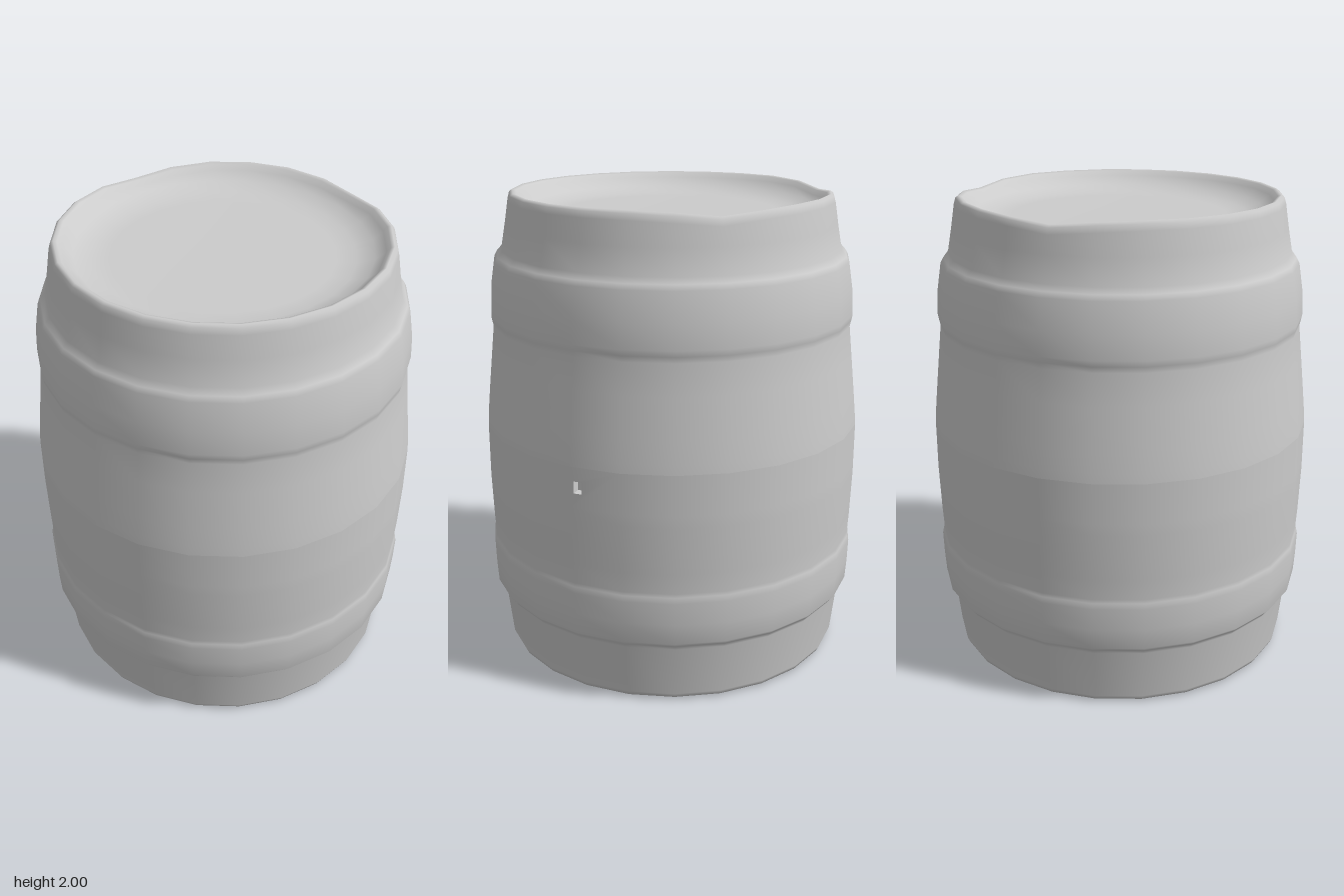
import * as THREE from 'three';

const SIDES = 24;
const STEP = (Math.PI * 2) / SIDES;
const BELLY = 0.815;
const SLOT_LOW = 0.85, SLOT_HIGH = 1.02;

const material = new THREE.MeshStandardMaterial({ color: 0xcccccc });

// One turned section of the barrel; profile runs upward along the outside
function turned(name, profile, start = 0, sides = SIDES) {
  const points = profile.map(([r, y]) => new THREE.Vector2(r, y));
  const mesh = new THREE.Mesh(new THREE.LatheGeometry(points, sides, start, sides * STEP), material);
  mesh.name = name;
  return mesh;
}

// Worn dip in the top rim towards the back
function wearRim(geometry) {
  const p = geometry.attributes.position;
  for (let i = 0; i < p.count; i++) {
    const x = p.getX(i), y = p.getY(i), z = p.getZ(i);
    if (y > 1.96 && Math.hypot(x, z) > 0.6) {
      p.setY(i, y - 0.024 * Math.exp(-(((z + 0.47) / 0.12) ** 2)));
    }
  }
}

// Flat stave panel with a small square tap hole and its socket
function tapPanel() {
  const group = new THREE.Group();
  group.name = 'tapPanel';
  const half = BELLY * Math.sin(STEP / 2);
  const depth = BELLY * Math.cos(STEP / 2);
  const rect = (path, x0, y0, x1, y1) =>
    path.moveTo(x0, y0).lineTo(x1, y0).lineTo(x1, y1).lineTo(x0, y1).closePath();

  const shape = new THREE.Shape();
  rect(shape, -half, SLOT_LOW, half, SLOT_HIGH);
  const hole = new THREE.Path();
  rect(hole, -0.093, 0.91, -0.059, 0.96);
  shape.holes.push(hole);

  // Normals follow the round of the barrel
  const geometry = new THREE.ShapeGeometry(shape);
  const p = geometry.attributes.position, n = geometry.attributes.normal;
  for (let i = 0; i < p.count; i++) {
    const v = new THREE.Vector3(p.getX(i), 0, depth).normalize();
    n.setXYZ(i, v.x, v.y, v.z);
  }
  const panel = new THREE.Mesh(geometry, material);
  panel.name = 'holedStave';
  panel.position.z = depth;

  // Inside-out box: only its inner walls show
  const inner = material.clone();
  inner.side = THREE.BackSide;
  const socket = new THREE.Mesh(new THREE.BoxGeometry(0.034, 0.05, 0.04), inner);
  socket.name = 'tapHole';
  socket.position.set(-0.076, 0.935, depth - 0.02);

  group.add(panel, socket);
  group.rotation.y = Math.PI / 2 + STEP / 2;
  return group;
}

export function createModel() {
  const barrel = new THREE.Group();
  barrel.name = 'barrel';

  // Recessed base, foot, lower hoop and lower belly
  const lower = turned('lowerBody', [
    [0, 0.06], [0.58, 0.06], [0.63, 0.05], [0.685, 0.005], [0.71, 0], [0.735, 0.01],
    [0.745, 0.03], [0.77, 0.25], [0.785, 0.272], [0.803, 0.292], [0.809, 0.38],
    [0.812, 0.475], [0.807, 0.5], [0.803, 0.515], [0.808, 0.6], [BELLY, 0.8], [BELLY, SLOT_LOW],
  ]);

  // Belly ring, leaving one stave open for the tap panel
  const belly = turned('belly', [[BELLY, SLOT_LOW], [BELLY, SLOT_HIGH]],
    Math.PI / 2 + STEP, SIDES - 1);

  // Upper belly, upper hoop, neck, rim and recessed lid
  const upper = turned('upperBody', [
    [BELLY, SLOT_HIGH], [0.812, 1.06], [0.803, 1.15], [0.785, 1.32], [0.771, 1.45],
    [0.776, 1.475], [0.781, 1.5], [0.776, 1.6], [0.757, 1.72], [0.745, 1.742],
    [0.724, 1.765], [0.705, 1.87], [0.69, 1.965], [0.683, 1.99], [0.67, 2],
    [0.655, 1.995], [0.64, 1.975], [0.6, 1.94], [0.53, 1.918], [0.45, 1.912], [0, 1.912],
  ]);
  wearRim(upper.geometry);

  barrel.add(lower, belly, upper, tapPanel());
  return barrel;
}
